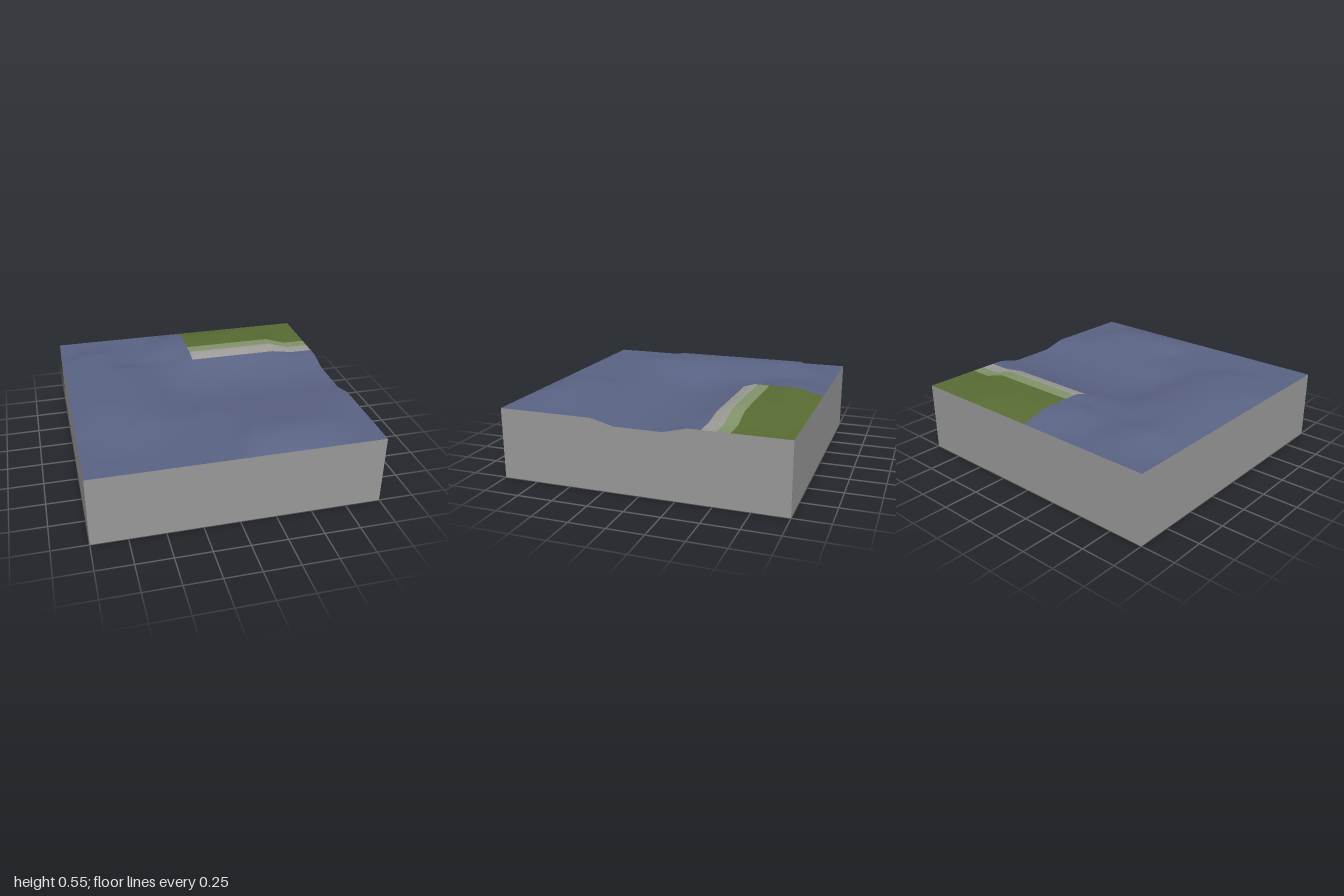
import * as THREE from 'three';

const N = 12;
// Terrain levels, one row per z step from back to front: + hill, - basin
const LEVELS = [
  '0000000000000',
  '00000+++++000',
  '0++00++++++00',
  '0++000+++++00',
  '0+++000000000',
  '0+++0--------',
  '0+++0--------',
  '0+++0--------',
  '0+++000000000',
  '00++000000000',
  '0000000++++00',
  '0000000++++00',
  '0000000000000',
];
const HEIGHT = { '0': 0.5, '+': 0.55, '-': 0.458 };
const level = (i, j) => HEIGHT[LEVELS[j][i]];

// Height anywhere on the tile, each grid cell split along its diagonal
function heightAt(x, z) {
  const u = THREE.MathUtils.clamp((x + 1) * N / 2, 0, N);
  const v = THREE.MathUtils.clamp((z + 1) * N / 2, 0, N);
  const i = Math.min(Math.floor(u + 1e-6), N - 1), j = Math.min(Math.floor(v + 1e-6), N - 1);
  const s = u - i, t = v - j;
  const a = level(i, j), b = level(i, j + 1), c = level(i + 1, j + 1), d = level(i + 1, j);
  return s + t <= 1 ? a + s * (d - a) + t * (b - a) : c + (1 - s) * (b - c) + (1 - t) * (d - c);
}

const material = (name, color) =>
  new THREE.MeshStandardMaterial({ name, color, side: THREE.DoubleSide });

// Ground surface: one smooth sheet, coloured by zone
function makeGround(materials) {
  const steps = Array.from({ length: N + 1 }, (_, i) => -1 + (2 * i) / N);
  const xs = [...steps, 0.04].sort((a, b) => a - b);
  const zs = [...steps, -0.61, -0.52, -0.46, -0.42].sort((a, b) => a - b);
  const positions = [];
  for (const z of zs) for (const x of xs) positions.push(x, heightAt(x, z), z);

  const zone = (x, z) => {
    if (x < 0 || z > -0.42) return 0;
    if (z < -0.61) return 1;
    if (z < -0.52) return 2;
    return x - 0.04 < z + 0.42 - 0.04 + 0.0 && z > -0.46 && x < 0.04 ? 0 : 3;
  };
  const buckets = materials.map(() => []);
  const addTriangle = (...t) => {
    const mid = (k) => t.reduce((sum, p) => sum + positions[p * 3 + k], 0) / 3;
    buckets[zone(mid(0), mid(2))].push(...t);
  };
  const w = xs.length;
  for (let j = 0; j < zs.length - 1; j++) {
    for (let i = 0; i < w - 1; i++) {
      const a = j * w + i, b = a + w, c = b + 1, d = a + 1;
      // the beach corner is cut across the other diagonal
      const corner = Math.abs(xs[i]) < 1e-6 && zs[j] === -0.46;
      if (corner) { addTriangle(a, b, c); addTriangle(a, c, d); }
      else { addTriangle(a, b, d); addTriangle(b, c, d); }
    }
  }
  const geometry = new THREE.BufferGeometry();
  geometry.setAttribute('position', new THREE.Float32BufferAttribute(positions, 3));
  geometry.setIndex(buckets.flat());
  let start = 0;
  buckets.forEach((bucket, m) => {
    geometry.addGroup(start, bucket.length, m);
    start += bucket.length;
  });
  geometry.computeVertexNormals();
  const mesh = new THREE.Mesh(geometry, materials);
  mesh.name = 'ground';
  return mesh;
}

// Side wall whose top follows the ground edge
function makeWall(name, turn, mat) {
  const shape = new THREE.Shape();
  shape.moveTo(-1, 0);
  shape.lineTo(1, 0);
  const cos = Math.cos(turn), sin = Math.sin(turn);
  for (let i = N; i >= 0; i--) {
    const s = -1 + (2 * i) / N;
    shape.lineTo(s, heightAt(s * cos + sin, cos - s * sin));
  }
  const geometry = new THREE.ShapeGeometry(shape).translate(0, 0, 1).rotateY(turn);
  const mesh = new THREE.Mesh(geometry, mat);
  mesh.name = name;
  return mesh;
}

export function createModel() {
  const group = new THREE.Group();
  group.name = 'terrainTile';
  const water = material('slate blue', 0x5a6384);
  const grass = material('grass green', 0x586c33);
  const verge = material('pale green', 0x82936a);
  const beach = material('beach grey', 0x9b9a96);
  const stone = material('wall grey', 0x999999);

  group.add(makeGround([water, grass, verge, beach]));
  ['frontWall', 'leftWall', 'backWall', 'rightWall'].forEach((name, k) =>
    group.add(makeWall(name, (k * Math.PI) / 2, stone)));
  return group;
}
